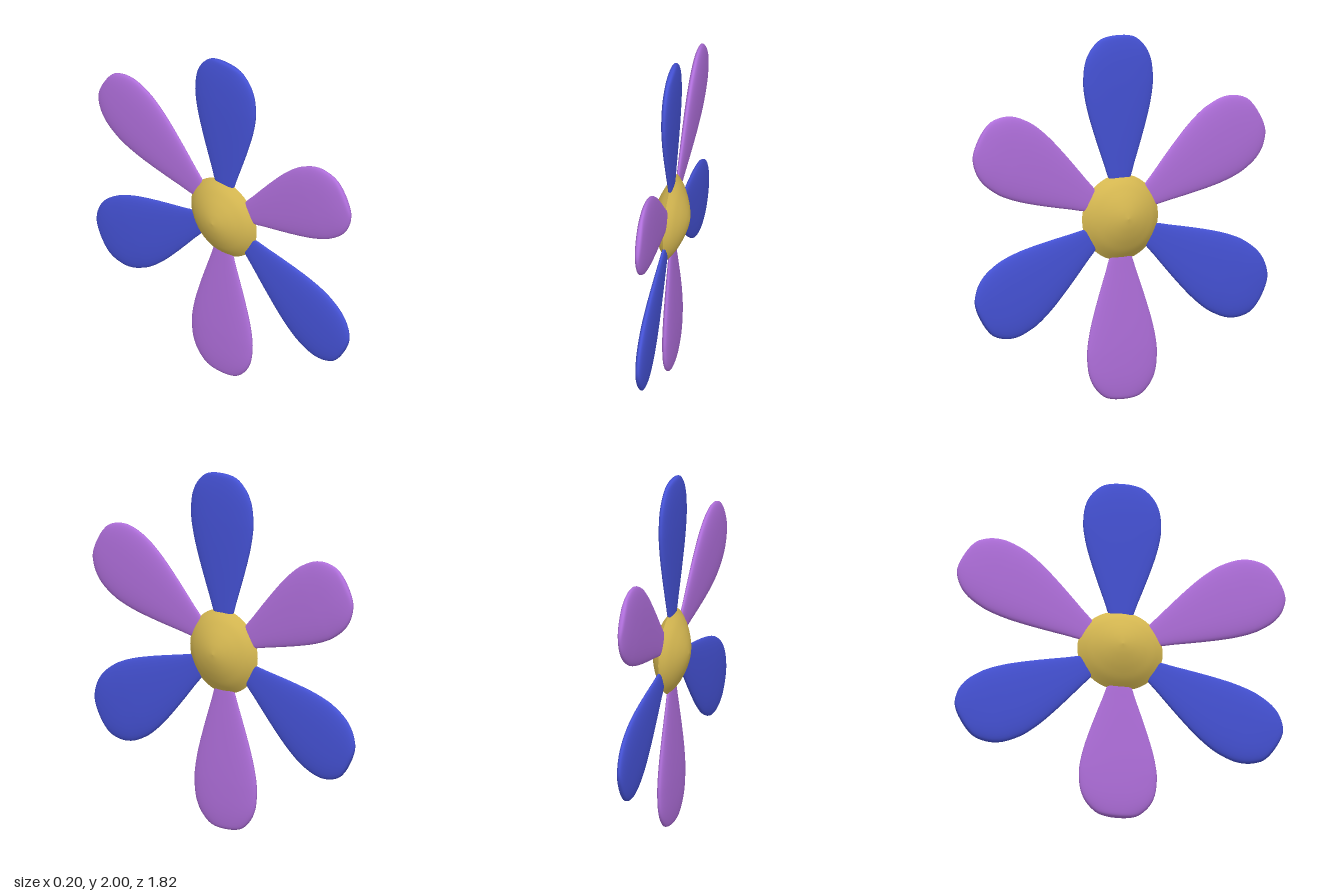
import * as THREE from 'three';
import { mergeVertices } from 'three/addons/utils/BufferGeometryUtils.js';

const blue = new THREE.MeshStandardMaterial({ name: 'blue', color: 0x4552d6 });
const purple = new THREE.MeshStandardMaterial({ name: 'purple', color: 0xb06fdc });
const gold = new THREE.MeshStandardMaterial({ name: 'gold', color: 0xd8ba52 });

// Petal outline from root to tip: half width, distance from the flower's middle
const outline = new THREE.SplineCurve([
  [0, 0.15], [0.055, 0.19], [0.095, 0.3], [0.13, 0.4], [0.163, 0.5], [0.192, 0.6], [0.21, 0.69],
  [0.215, 0.76], [0.205, 0.85], [0.174, 0.92], [0.12, 0.975], [0.065, 0.995], [0, 1],
].map(([w, r]) => new THREE.Vector2(w, r)));

const squircle = (c) => Math.sign(c) * Math.abs(c) ** 0.85;

// A sphere reshaped to the outline, giving a flat, pillowed petal
function petalGeometry() {
  const geo = new THREE.SphereGeometry(1, 40, 48);
  const pos = geo.attributes.position;
  const uv = geo.attributes.uv;
  for (let i = 0; i < pos.count; i++) {
    const p = outline.getPoint(uv.getY(i));
    const a = Math.atan2(pos.getZ(i), pos.getX(i));
    const w = Math.max(p.x, 0);
    const thick = 0.03 * (w / 0.215) ** 0.75;
    pos.setXYZ(i, thick * squircle(Math.cos(a)), p.y, w * squircle(Math.sin(a)));
  }
  geo.deleteAttribute('uv');
  geo.deleteAttribute('normal');
  const merged = mergeVertices(geo, 1e-5);
  merged.computeVertexNormals();
  return merged;
}

// One half of the lens-shaped middle
function domeGeometry() {
  const profile = new THREE.SplineCurve([
    [0.235, 0], [0.19, 0.034], [0.145, 0.058], [0.1, 0.077], [0.05, 0.092], [0, 0.1],
  ].map(([r, h]) => new THREE.Vector2(r, h)));
  return new THREE.LatheGeometry(profile.getPoints(20), 48);
}

export function createModel() {
  const model = new THREE.Group();
  model.name = 'flower';

  // Six petals in alternating colours, turned slightly off the vertical
  const petal = petalGeometry();
  for (let k = 0; k < 6; k++) {
    const mesh = new THREE.Mesh(petal, k % 2 ? purple : blue);
    mesh.name = `petal${k + 1}`;
    mesh.position.y = 1;
    mesh.rotation.x = k * Math.PI / 3 + 0.016;
    model.add(mesh);
  }

  // Two domes meeting at a sharp rim
  const dome = domeGeometry();
  for (const side of [1, -1]) {
    const mesh = new THREE.Mesh(dome, gold);
    mesh.name = side > 0 ? 'leftDome' : 'rightDome';
    mesh.position.y = 1;
    mesh.rotation.z = -side * Math.PI / 2;
    model.add(mesh);
  }
  return model;
}
